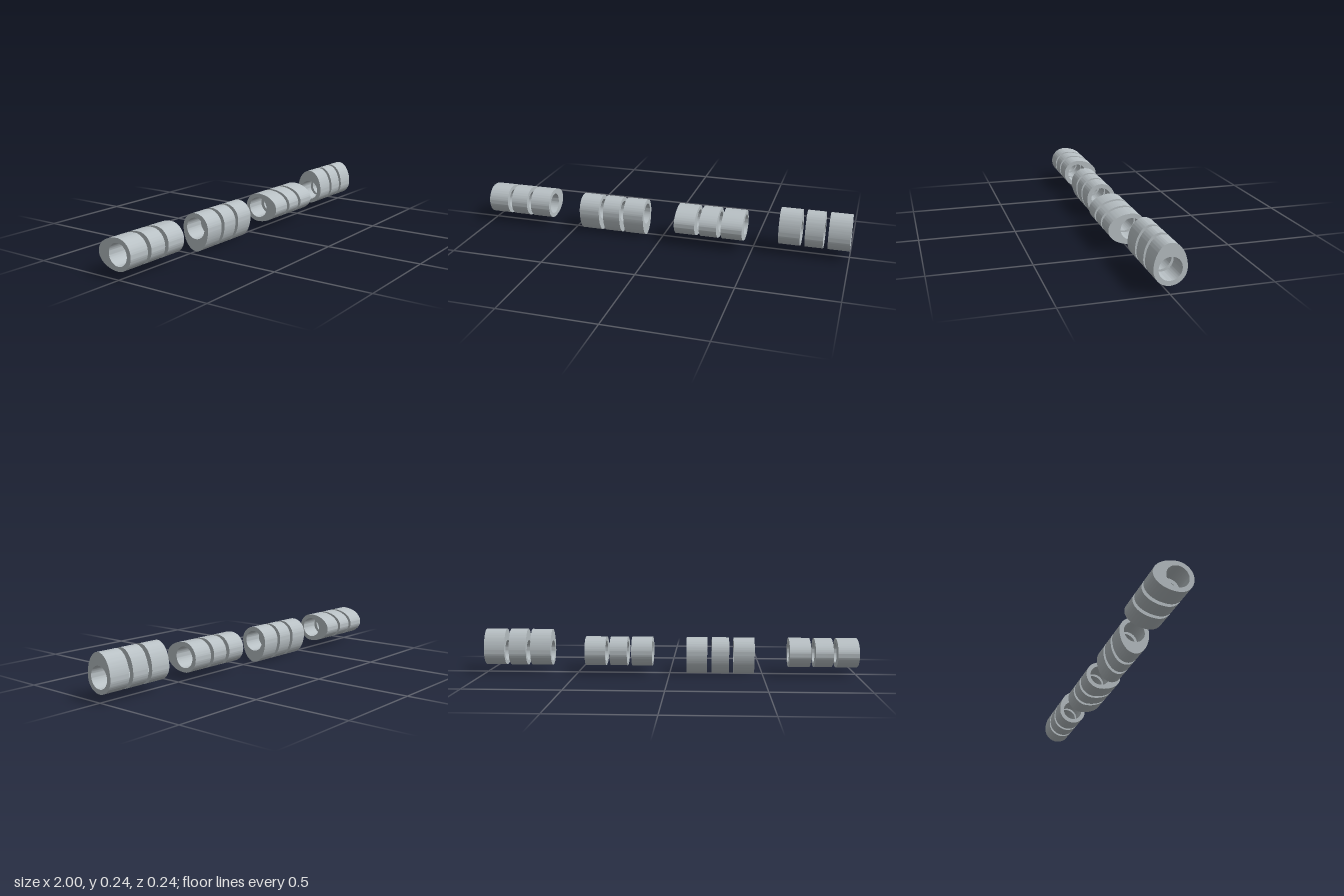
import * as THREE from 'three';
import { toCreasedNormals } from 'three/addons/utils/BufferGeometryUtils.js';

const BASE = 0.078, TIP = 0.118, BORE = 0.055, AXIS_Y = 0.118;

// Cam outline: round base below, half ellipse nose above, bored through the middle
function lobeGeometry(width) {
  const shape = new THREE.Shape();
  shape.absellipse(0, 0, BASE, TIP, 0, Math.PI, false, 0);
  shape.absarc(0, 0, BASE, Math.PI, Math.PI * 2, false);
  const bore = new THREE.Path();
  bore.absarc(0, 0, BORE, 0, Math.PI * 2, true);
  shape.holes.push(bore);
  const geo = new THREE.ExtrudeGeometry(shape, { depth: width, bevelEnabled: false, curveSegments: 40 });
  geo.translate(0, 0, -width / 2);
  geo.rotateY(Math.PI / 2);
  return toCreasedNormals(geo, Math.PI / 5);
}

export function createModel() {
  const model = new THREE.Group();
  model.name = 'camLobes';
  const steel = new THREE.MeshStandardMaterial({ color: 0xb8c0c4 });
  steel.name = 'steel grey';

  const outer = lobeGeometry(0.111);
  const middle = lobeGeometry(0.093);

  // Four sets of three lobes, each set turned a quarter from its neighbour
  const sets = [
    ['backSet', -0.8185, -Math.PI / 2],
    ['downSet', -0.2735, Math.PI],
    ['frontSet', 0.2735, Math.PI / 2],
    ['upSet', 0.8185, 0],
  ];
  for (const [name, x, angle] of sets) {
    const set = new THREE.Group();
    set.name = name;
    for (const side of [-1, 0, 1]) {
      const lobe = new THREE.Mesh(side ? outer : middle, steel);
      lobe.name = side ? 'outerLobe' : 'middleLobe';
      lobe.position.x = side * 0.126;
      set.add(lobe);
    }
    set.position.set(x, AXIS_Y, 0);
    set.rotation.x = angle;
    model.add(set);
  }
  return model;
}
